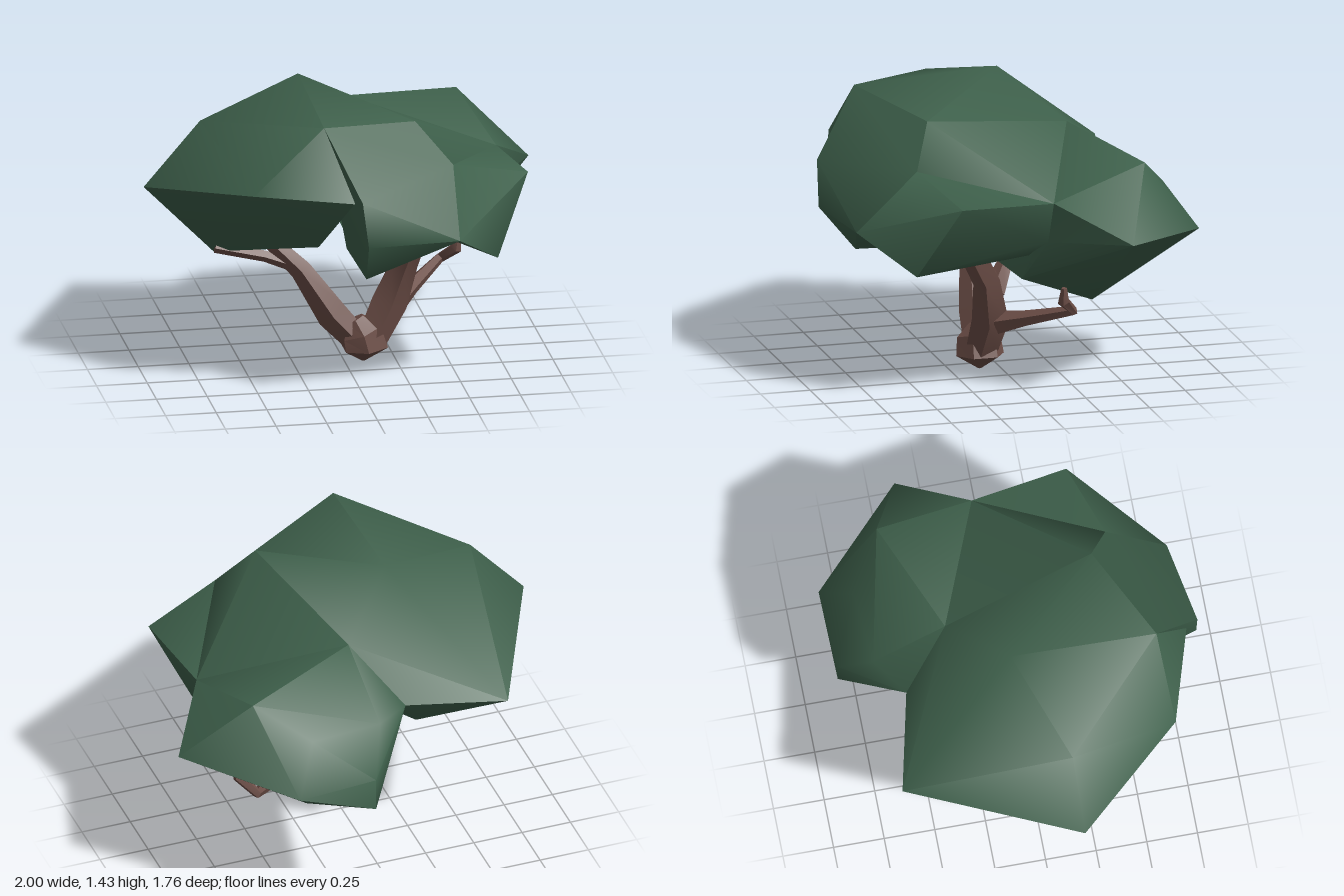
import * as THREE from 'three';
import { toCreasedNormals } from 'three/addons/utils/BufferGeometryUtils.js';
import { ConvexGeometry } from 'three/addons/geometries/ConvexGeometry.js';

const V = (p) => new THREE.Vector3(p[0], p[1], p[2]);

// Faceted leaf mass wrapped around a few corner points
function lobe(name, corners, material) {
  const hull = new ConvexGeometry(corners.map(V));
  const mesh = new THREE.Mesh(toCreasedNormals(hull, 0.95), material);
  mesh.name = name;
  return mesh;
}

// Tapered limb: rings along stations of [x, y, z, radius]
function limb(name, stations, material, sides = 5) {
  const centres = stations.map(V);
  const last = centres.length - 1;
  const positions = [];
  const index = [];
  centres.forEach((c, i) => {
    const t = centres[Math.min(i + 1, last)].clone().sub(centres[Math.max(i - 1, 0)]).normalize();
    const u = new THREE.Vector3(0, 0, 1).addScaledVector(t, -t.z).normalize();
    const v = t.clone().cross(u);
    for (let j = 0; j < sides; j++) {
      const a = (j / sides) * Math.PI * 2;
      const p = c.clone()
        .addScaledVector(u, Math.cos(a) * stations[i][3])
        .addScaledVector(v, Math.sin(a) * stations[i][3]);
      positions.push(p.x, p.y, p.z);
      if (i < last) {
        const k = (j + 1) % sides;
        const [p0, p1] = [i * sides + j, i * sides + k];
        index.push(p0, p1, p0 + sides, p1, p1 + sides, p0 + sides);
      }
    }
  });
  // Close both ends
  for (let j = 1; j < sides - 1; j++) {
    index.push(0, j + 1, j);
    index.push(last * sides, last * sides + j, last * sides + j + 1);
  }
  const geo = new THREE.BufferGeometry();
  geo.setAttribute('position', new THREE.Float32BufferAttribute(positions, 3));
  geo.setIndex(index);
  const mesh = new THREE.Mesh(toCreasedNormals(geo, 0.6), material);
  mesh.name = name;
  return mesh;
}

export function createModel() {
  const leaf = new THREE.MeshStandardMaterial({ color: 0x3e604b });
  leaf.name = 'leaf green';
  const bark = new THREE.MeshStandardMaterial({ color: 0x6b4d46 });
  bark.name = 'bark brown';

  const tree = new THREE.Group();
  tree.name = 'tree';

  // Corners shared by neighbouring leaf masses, so the canopy reads as one skin
  const crown = [-0.2, 1.43, -0.07];
  const frontCrown = [-0.2, 1.39, 0.65];
  const shoulder = [0.29, 1.32, 0.42];
  const saddle = [0.09, 1.21, -0.34];
  const brow = [0.46, 1.12, 0.52];
  const notchTop = [0.78, 1.0, -0.08];
  const notchLow = [0.75, 0.8, -0.06];
  const backValley = [-0.12, 0.95, -0.57];

  const canopy = new THREE.Group();
  canopy.name = 'canopy';
  canopy.add(
    lobe('rightCanopy', [
      crown, frontCrown, shoulder, saddle, backValley,
      [-1, 0.97, 0.15], [-0.72, 1.29, 0.14], [-0.55, 1.07, 0.68], [-0.62, 0.55, -0.05],
      [-0.61, 0.93, -0.68], [-0.2, 0.8, -0.5], [-0.2, 0.73, 0.5], [-0.08, 1.05, 0.82],
      [0.02, 0.72, 0],
    ], leaf),
    lobe('frontCanopy', [
      frontCrown, shoulder, brow,
      [-0.05, 1.07, 0.88], [-0.02, 0.84, 0.88], [0, 0.62, 0.7], [0.44, 0.83, 0.82],
      [0.4, 0.73, 0.5], [0.1, 0.72, 0.1], [-0.08, 0.75, 0.6],
    ], leaf),
    lobe('leftCanopy', [
      brow, notchTop, notchLow,
      [0.85, 1.02, 0.4], [0.67, 0.65, 0.58], [0.44, 0.83, 0.82], [0.42, 0.74, 0.45],
      [0.62, 0.71, -0.06], [0.2, 0.74, 0.1], [0.3, 1.1, 0],
    ], leaf),
    lobe('middleCanopy', [
      shoulder, saddle, brow, notchTop, notchLow, [0.1, 0.9, 0.2], [0.1, 0.9, -0.3],
    ], leaf),
    lobe('backCanopy', [
      saddle, notchTop, notchLow, backValley,
      [1, 0.82, -0.42], [0.54, 0.75, -0.88], [0.14, 0.59, -0.86], [0.14, 0.76, -0.86],
      [0.06, 0.97, -0.7], [0.42, 0.97, -0.73], [0.67, 1.14, -0.57], [0.33, 0.37, -0.4],
      [0.2, 0.45, -0.28], [0.6, 0.58, 0.03], [0.02, 0.62, 0.12],
    ], leaf),
  );

  // Trunk stump, two main limbs and their side branches
  const wood = new THREE.Group();
  wood.name = 'wood';
  wood.add(
    limb('trunk', [
      [0.09, 0, 0.1, 0.01], [0.1, 0.07, 0.1, 0.12], [0.08, 0.15, 0.1, 0.11], [0.05, 0.21, 0.09, 0.05],
    ], bark, 6),
    limb('rightLimb', [
      [0.05, 0.12, 0.1, 0.07], [-0.06, 0.24, 0.08, 0.08], [-0.21, 0.47, 0.06, 0.055],
      [-0.36, 0.62, 0.02, 0.04], [-0.44, 0.7, 0, 0.03],
    ], bark),
    limb('rightBranch', [
      [-0.2, 0.48, 0.05, 0.04], [-0.38, 0.54, 0.03, 0.03], [-0.62, 0.59, 0, 0.03],
    ], bark),
    limb('leftLimb', [
      [0.13, 0.11, 0.1, 0.08], [0.22, 0.29, 0.08, 0.095], [0.29, 0.5, 0.12, 0.07],
      [0.35, 0.76, 0.26, 0.06],
    ], bark),
    limb('leftBranch', [
      [0.26, 0.27, 0.05, 0.06], [0.36, 0.31, -0.06, 0.04], [0.53, 0.38, -0.25, 0.025],
      [0.6, 0.45, -0.18, 0.03], [0.61, 0.52, -0.18, 0.015],
    ], bark),
    limb('innerBranch', [
      [0.27, 0.43, 0.08, 0.06], [0.22, 0.55, 0.01, 0.04], [0.16, 0.62, -0.04, 0.03],
      [0.05, 0.66, -0.07, 0.02],
    ], bark),
  );

  tree.add(canopy, wood);
  return tree;
}
